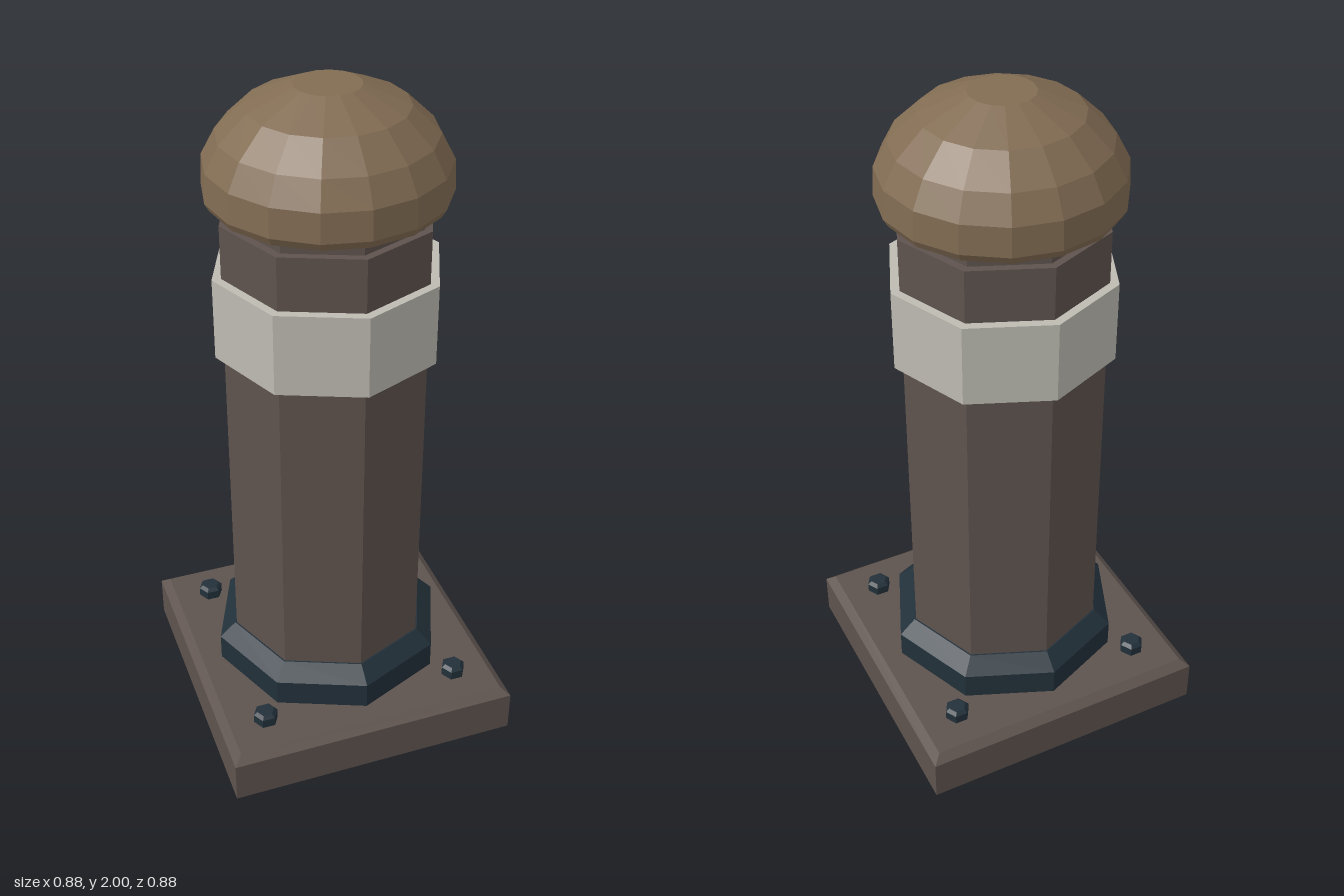
import * as THREE from 'three';

export function createModel() {
  const material = (name, color) => {
    const m = new THREE.MeshStandardMaterial({ color, flatShading: true });
    m.name = name;
    return m;
  };
  const iron = material('brown iron', 0x5e534e);
  const steel = material('dark blue steel', 0x22303a);
  const paint = material('pale grey paint', 0xbdbbb1);
  const bronze = material('bronze', 0x826c53);

  const group = new THREE.Group();
  group.name = 'bollard';

  // Faceted solid turned from a [radius, height] profile, listed bottom to top
  const turned = (name, mat, sides, profile, turn = 0) => {
    const points = profile.map(([r, y]) => new THREE.Vector2(r, y));
    const mesh = new THREE.Mesh(new THREE.LatheGeometry(points, sides, turn), mat);
    mesh.name = name;
    group.add(mesh);
    return mesh;
  };

  // Square base plate with a chamfered top edge
  const corner = Math.SQRT2;
  turned('basePlate', iron, 4, [
    [0, 0], [0.44 * corner, 0], [0.44 * corner, 0.13], [0.415 * corner, 0.152], [0, 0.152],
  ], Math.PI / 4);

  // Octagonal collar, shaft, band and neck
  turned('collar', steel, 8, [[0, 0.15], [0.354, 0.15], [0.354, 0.235], [0.305, 0.28], [0, 0.28]]);
  turned('shaft', iron, 8, [[0, 0.2], [0.3, 0.2], [0.3, 1.65], [0, 1.65]]);
  turned('band', paint, 8, [[0.29, 1.255], [0.326, 1.255], [0.326, 1.495], [0.29, 1.495]]);
  turned('neck', iron, 8, [[0, 1.64], [0.277, 1.64], [0.277, 1.72], [0, 1.72]]);

  // Domed cap
  turned('cap', bronze, 16, [
    [0, 1.695], [0.322, 1.695], [0.335, 1.718], [0.331, 1.8], [0.293, 1.872],
    [0.217, 1.945], [0.09, 2], [0, 2],
  ]);

  // Hexagonal bolts at the plate corners
  for (const x of [-1, 1]) {
    for (const z of [-1, 1]) {
      const bolt = turned('bolt', steel, 6, [
        [0, 0.15], [0.037, 0.15], [0.037, 0.18], [0.026, 0.19], [0, 0.19],
      ], Math.PI / 6);
      bolt.position.set(x * 0.304, 0, z * 0.304);
    }
  }
  return group;
}
